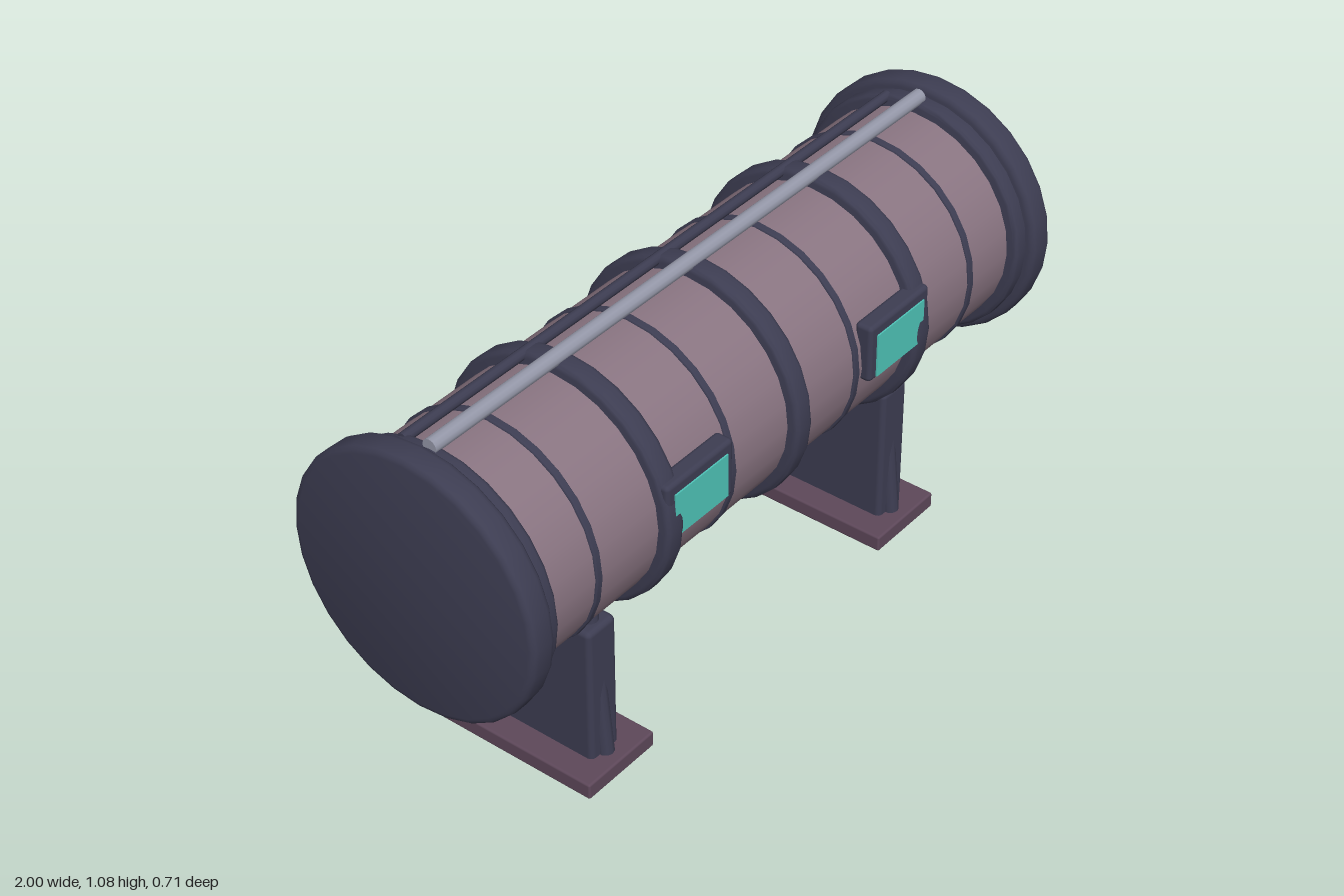
import * as THREE from 'three';
import { toCreasedNormals } from 'three/addons/utils/BufferGeometryUtils.js';
import { RoundedBoxGeometry } from 'three/addons/geometries/RoundedBoxGeometry.js';

const AXIS_Y = 0.725; // height of the tank's axis

function material(name, color) {
  const m = new THREE.MeshStandardMaterial({ color });
  m.name = name;
  return m;
}

// Solid disc along x with rounded rims
function disc(width, radius, bevel) {
  const h = width / 2, pts = [new THREE.Vector2(0, -h)];
  const steps = 3;
  for (const side of [-1, 1]) {
    for (let i = 0; i <= steps; i++) {
      const a = (side < 0 ? i : steps - i) / steps * Math.PI / 2;
      pts.push(new THREE.Vector2(radius - bevel + bevel * Math.sin(a), side * (h - bevel + bevel * Math.cos(a))));
    }
  }
  pts.push(new THREE.Vector2(0, h));
  return toCreasedNormals(new THREE.LatheGeometry(pts, 28).rotateZ(-Math.PI / 2), 0.7);
}

export function createModel() {
  const model = new THREE.Group();
  model.name = 'tank';
  const hullMat = material('mauve hull', 0x8a7582);
  const darkMat = material('dark slate', 0x3d3d52);
  const baseMat = material('plum base', 0x5e485a);
  const pipeMat = material('grey pipe', 0x9598a9);
  const glassMat = material('teal glass', 0x4fc4b8);

  function add(name, geometry, mat, x, y, z, parent = model) {
    const mesh = new THREE.Mesh(geometry, mat);
    mesh.name = name;
    mesh.position.set(x, y, z);
    parent.add(mesh);
    return mesh;
  }

  // Hull
  const hull = new THREE.CylinderGeometry(0.3, 0.3, 1.86, 28).rotateZ(Math.PI / 2);
  add('hull', hull, hullMat, 0, AXIS_Y, 0);

  // End caps and collars
  for (const s of [-1, 1]) {
    add('endCap', disc(0.075, 0.355, 0.018), darkMat, s * 0.9625, AXIS_Y, 0);
    add('collar', disc(0.06, 0.33, 0.012), darkMat, s * 0.915, AXIS_Y, 0);
  }

  // Heavy ribs and thin seams
  for (const x of [-0.48, 0, 0.48]) add('rib', disc(0.06, 0.331, 0.015), darkMat, x, AXIS_Y, 0);
  for (const x of [-0.72, -0.24, 0.24, 0.72]) add('seam', disc(0.02, 0.306, 0.004), darkMat, x, AXIS_Y, 0);

  // Pipes along the top
  add('topPipe', new THREE.CylinderGeometry(0.02, 0.02, 1.82, 12).rotateZ(Math.PI / 2), pipeMat, 0, 1.06, -0.003);
  add('cable', new THREE.CylinderGeometry(0.014, 0.014, 1.8, 10).rotateZ(Math.PI / 2), darkMat, 0, 1.033, -0.093);

  // Windows on the front
  for (const s of [-1, 1]) {
    const win = new THREE.Group();
    win.name = 'window';
    win.position.set(s * 0.385, 0.77, 0);
    model.add(win);
    add('windowFrame', new RoundedBoxGeometry(0.24, 0.16, 0.05, 2, 0.012), darkMat, 0, 0, 0.298, win);
    add('windowGlass', new THREE.BoxGeometry(0.19, 0.12, 0.009), glassMat, 0, -0.01, 0.3225, win);
  }

  // Supports
  for (const s of [-1, 1]) {
    const support = new THREE.Group();
    support.name = 'support';
    support.position.x = s * 0.58;
    model.add(support);
    add('foot', new RoundedBoxGeometry(0.24, 0.045, 0.48, 2, 0.006), baseMat, 0, 0.0235, 0, support);
    add('footSlot', new THREE.BoxGeometry(0.06, 0.006, 0.32), darkMat, 0, 0.003, 0, support);
    add('leg', new RoundedBoxGeometry(0.1, 0.41, 0.38, 2, 0.015), darkMat, 0, 0.23, 0, support);
    // Struts lean inward from the foot to the hull
    for (const side of [-1, 1]) {
      const strut = add('strut', new THREE.CylinderGeometry(0.022, 0.022, 0.45, 10), darkMat, 0, 0.257, side * 0.169, support);
      strut.rotation.x = -side * 0.1;
    }
  }
  return model;
}
